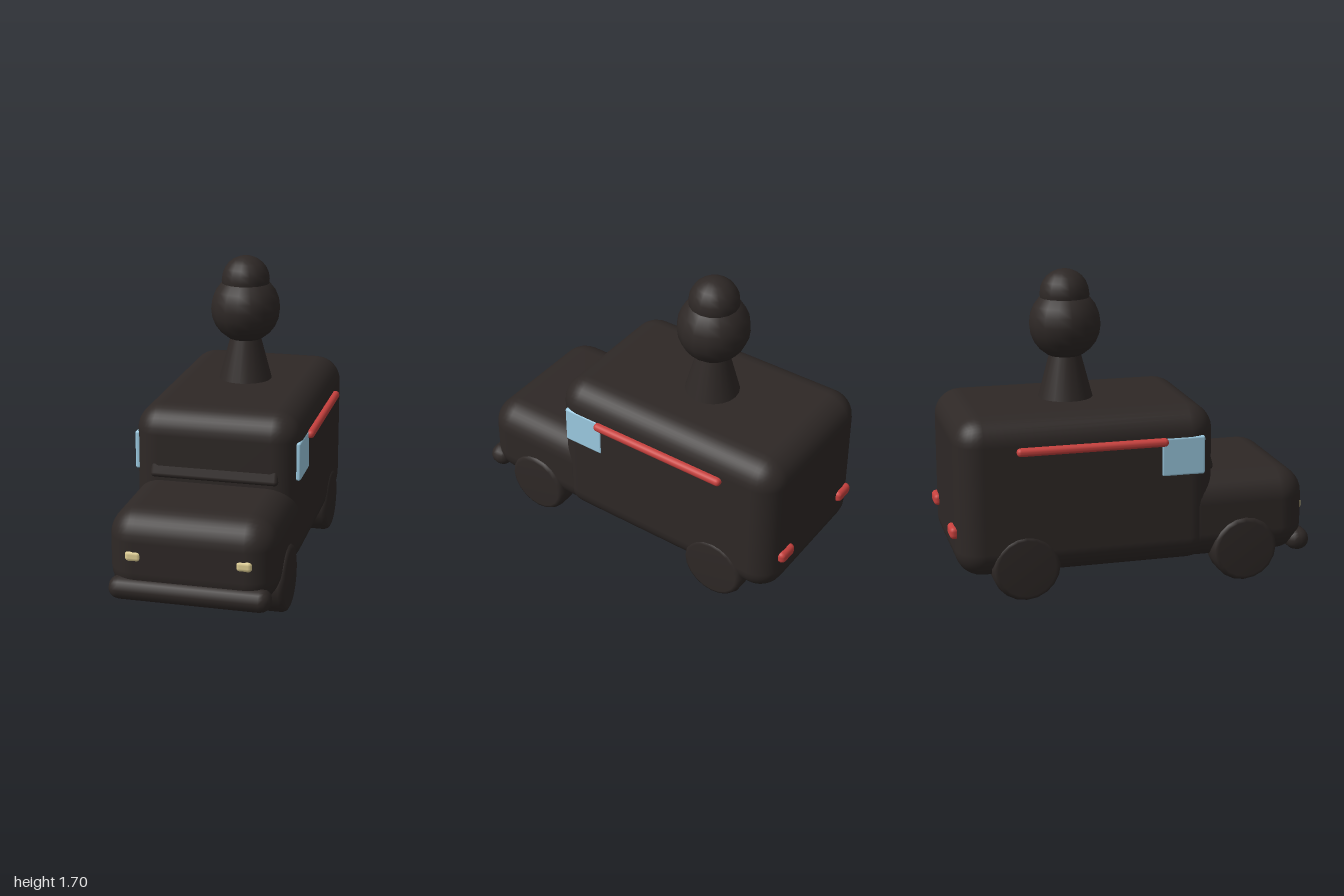
import * as THREE from 'three';
import { RoundedBoxGeometry } from 'three/addons/geometries/RoundedBoxGeometry.js';

const material = (color) => new THREE.MeshStandardMaterial({ color });

export function createModel() {
  const van = new THREE.Group();
  van.name = 'van';
  const dark = material(0x2e2826);
  const red = material(0xc8413e);
  const blue = material(0x9ccbe2);
  const cream = material(0xe0cf94);

  const add = (name, geometry, mat, x, y, z) => {
    const mesh = new THREE.Mesh(geometry, mat);
    mesh.name = name;
    mesh.position.set(x, y, z);
    van.add(mesh);
    return mesh;
  };

  // Rounded block given by its limits on each axis
  const block = (name, mat, [x0, x1], [y0, y1], [z0, z1], radius, segments = 4) =>
    add(name, new RoundedBoxGeometry(x1 - x0, y1 - y0, z1 - z0, segments, radius), mat,
      (x0 + x1) / 2, (y0 + y1) / 2, (z0 + z1) / 2);

  // Cabin, bonnet and bumper
  block('cabin', dark, [-0.452, 0.452], [0.13, 1.0], [-0.972, 0.437], 0.145);
  block('bonnet', dark, [-0.444, 0.444], [0.13, 0.605], [0.2, 0.968], 0.155);
  block('bumper', dark, [-0.43, 0.43], [0.13, 0.252], [0.87, 1.0], 0.06, 2);

  // Windscreen leaning back into the cabin
  const windscreen = add('windscreen', new RoundedBoxGeometry(0.7, 0.26, 0.05, 3, 0.022), dark, 0, 0.745, 0.395);
  windscreen.rotation.x = -0.27;

  // Wheel profile: a disc with softened rims
  const wheelProfile = [
    [0, -0.077], [0.155, -0.077], [0.174, -0.068], [0.185, -0.045],
    [0.185, 0.045], [0.174, 0.068], [0.155, 0.077], [0, 0.077],
  ].map(([r, y]) => new THREE.Vector2(r, y));
  const wheelGeometry = new THREE.LatheGeometry(wheelProfile, 20).rotateZ(Math.PI / 2);

  for (const side of [1, -1]) {
    const label = side > 0 ? 'left' : 'right';
    const span = (a, b) => (side > 0 ? [a, b] : [-b, -a]);
    add(`${label}FrontWheel`, wheelGeometry, dark, side * 0.382, 0.187, 0.605);
    add(`${label}RearWheel`, wheelGeometry, dark, side * 0.382, 0.187, -0.61);
    block(`${label}Window`, blue, span(0.426, 0.456), [0.635, 0.847], [0.125, 0.366], 0.012, 2);
    block(`${label}Stripe`, red, span(0.435, 0.485), [0.805, 0.85], [-0.658, 0.158], 0.021, 2);
    block(`${label}TailLight`, red, span(0.235, 0.358), [0.345, 0.412], [-1.0, -0.95], 0.024, 2);
    block(`${label}Headlight`, cream, span(0.245, 0.335), [0.345, 0.408], [0.925, 0.974], 0.023, 2);
  }

  // Roof ornament: tapered stand, ball and cap
  const z = -0.295;
  add('ornamentStand', new THREE.CylinderGeometry(0.08, 0.152, 0.27, 20), dark, 0, 1.125, z);
  add('ornamentBall', new THREE.SphereGeometry(0.196, 16, 12), dark, 0, 1.405, z);
  add('ornamentCap', new THREE.SphereGeometry(0.136, 16, 12), dark, 0, 1.564, z);

  return van;
}
